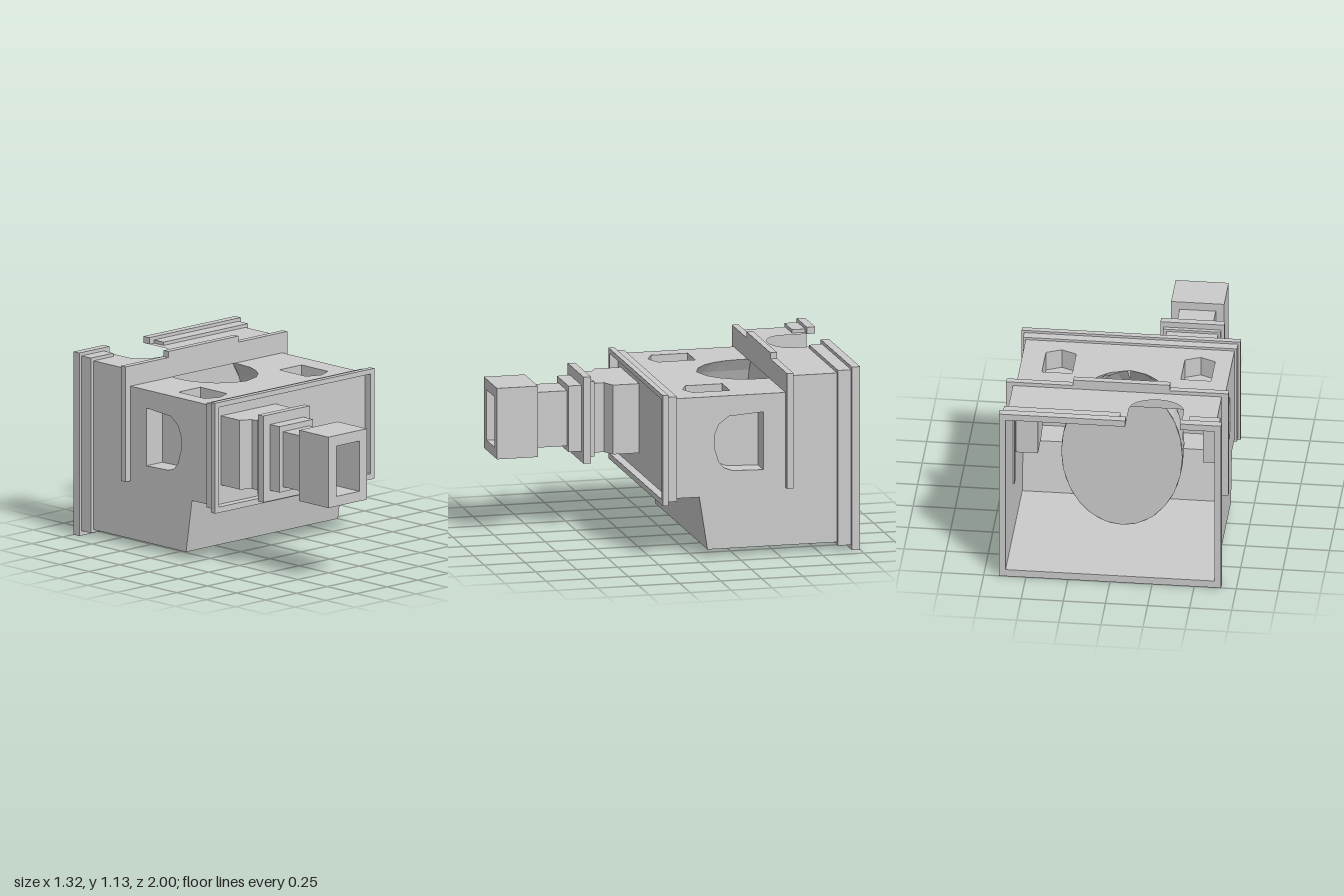
import * as THREE from 'three';
import { ParametricGeometry } from 'three/addons/geometries/ParametricGeometry.js';

const flat = new THREE.MeshStandardMaterial({ color: 0xcccccc, flatShading: true, side: THREE.DoubleSide });
const smooth = new THREE.MeshStandardMaterial({ color: 0xcccccc, side: THREE.DoubleSide });

const toShape = (pts) => new THREE.Shape(pts.map(([x, y]) => new THREE.Vector2(x, y)));
const sheet = (pts, holes = []) => {
  const s = toShape(pts);
  s.holes = holes.map(toShape);
  return new THREE.ShapeGeometry(s);
};
const slab = (pts, z0, z1, holes = []) => {
  const s = toShape(pts);
  s.holes = holes.map(toShape);
  return new THREE.ExtrudeGeometry(s, { depth: z1 - z0, bevelEnabled: false }).translate(0, 0, z0);
};
const rect = (x0, x1, y0, y1) => [[x0, y0], [x1, y0], [x1, y1], [x0, y1]];

// Strip of wall that follows a closed outline from z = 0 to z = depth
function wall(pts, depth) {
  const v = [];
  pts.forEach(([x, y], i) => {
    const [p, q] = pts[(i + 1) % pts.length];
    v.push(x, y, 0, p, q, 0, p, q, depth, x, y, 0, p, q, depth, x, y, depth);
  });
  const g = new THREE.BufferGeometry();
  g.setAttribute('position', new THREE.Float32BufferAttribute(v, 3));
  g.computeVertexNormals();
  return g;
}

export function createModel() {
  const model = new THREE.Group();
  const add = (name, geo, mat = flat) => {
    const m = new THREE.Mesh(geo, mat);
    m.name = name;
    model.add(m);
    return m;
  };
  const W = 0.62, TOP = 0.97, REAR_TOP = 1.07, RIB = -0.575;

  // Rounded scoop let into the top: rows of [z, size], cut off at the top panel
  const rows = [[RIB, 1], [-0.5, 1], [-0.42, 0.985], [-0.34, 0.93], [-0.27, 0.85],
    [-0.215, 0.76], [-0.18, 0.7], [-0.12, 0.5], [-0.08, 0.25], [-0.065, 0.001]];
  const CX = -0.025, CY = 0.63, A = 0.36, B = 0.486, CUT = (TOP - CY) / B;
  const scoopPoint = (k, u) => {
    const t = Math.asin(Math.min(1, CUT / k));
    const a = t - u * (Math.PI + 2 * t);
    return [CX + A * k * Math.cos(a), CY + B * k * Math.sin(a)];
  };
  add('scoop', new ParametricGeometry((u, v, target) => {
    const [z, k] = rows[Math.round(v * (rows.length - 1))];
    const [x, y] = scoopPoint(k, u);
    target.set(x, y, z);
  }, 24, rows.length - 1), smooth);
  add('scoopBack', sheet(Array.from({ length: 19 }, (_, i) => scoopPoint(1, i / 18))).translate(0, 0, RIB));

  // Side panels with rounded window pockets
  const side = [[0.15, 0.365], [0.15, TOP], [RIB, TOP], [RIB, REAR_TOP], [-1, REAR_TOP],
    [-1, 0.045], [-0.08, 0.045], [-0.03, 0.365]];
  const win = [[-0.42, 0.51], [-0.42, 0.86], [-0.21, 0.845], [-0.15, 0.8], [-0.125, 0.74],
    [-0.125, 0.65], [-0.15, 0.57], [-0.18, 0.535], [-0.23, 0.515]];
  for (const s of [1, -1]) {
    const place = (g, depth = 0) => g.rotateY(-Math.PI / 2).translate(s * (W - depth), 0, 0);
    add('sidePanel', place(sheet(side, [win])));
    add('sidePocketFloor', place(sheet(win), 0.13));
    add('sidePocketWall', place(wall(win, s * 0.13)));
  }

  // Top panel, open over the scoop and the two pointed pockets
  const rim = rows.slice(0, 7).map(([z, k]) => [A * Math.sqrt(Math.max(0, k * k - CUT * CUT)), z]);
  const topOutline = [[-W, RIB], ...rim.map(([w, z]) => [CX - w, z]),
    ...rim.slice(0, 6).reverse().map(([w, z]) => [CX + w, z]), [W, RIB], [W, 0.15], [-W, 0.15]];
  const pockets = [-0.43, 0.395].map((c) =>
    [[c - 0.09, -0.25], [c + 0.09, -0.25], [c + 0.09, -0.025], [c, 0.015], [c - 0.09, -0.025]]);
  const lay = (g, y) => g.rotateX(Math.PI / 2).translate(0, y, 0);
  add('topPanel', lay(sheet(topOutline, pockets), TOP));
  for (const p of pockets) {
    add('topPocketFloor', lay(sheet(p), TOP - 0.12));
    add('topPocketWall', lay(wall(p, 0.12), TOP));
  }

  // Rear top panel with a round-ended notch
  const NL = -0.415, NR = -0.09, NC = (NL + NR) / 2, NW = (NR - NL) / 2;
  const arc = Array.from({ length: 13 }, (_, i) => {
    const a = Math.PI * (1 - i / 12);
    return [NC + NW * Math.cos(a), -0.79 + 0.12 * Math.sin(a)];
  });
  add('rearTopPanel', lay(sheet([[-W, -1], [NL, -1], ...arc, [NR, -1], [W, -1], [W, RIB], [-W, RIB]]), REAR_TOP));

  // Floor, sloped step, shelf and front panel
  add('floor', lay(sheet(rect(-W, W, -1, -0.08)), 0.045));
  add('shelf', lay(sheet(rect(-W, W, -0.03, 0.15)), 0.365));
  const slope = new THREE.PlaneGeometry(2 * W, Math.hypot(0.32, 0.05));
  add('slopedStep', slope.rotateX(Math.atan2(0.05, 0.32)).translate(0, 0.205, -0.055));
  add('frontPanel', sheet(rect(-W, W, 0.365, TOP)).translate(0, 0, 0.15));

  // Stepped front frame
  const opening = rect(-W, W, 0.365, TOP);
  add('frontFrameInner', slab(rect(-0.635, 0.635, 0.35, 0.985), 0.11, 0.165, [opening]));
  add('frontFrameOuter', slab(rect(-0.65, 0.65, 0.33, 1.0), 0.165, 0.2, [opening]));

  // Stepped rear frame, broken by the notch at the top
  const brokenFrame = (x, y0, y1, ga, gb) => [[gb, y1], [x, y1], [x, y0], [-x, y0], [-x, y1], [ga, y1],
    [ga, REAR_TOP], [-W, REAR_TOP], [-W, 0.045], [W, 0.045], [W, REAR_TOP], [gb, REAR_TOP]];
  add('rearFrameOuter', slab(brokenFrame(0.66, 0, 1.11, NL, NR), -1, -0.95));
  add('rearFrameInner', slab(brokenFrame(0.642, 0.028, 1.09, -0.46, -0.05), -0.95, -0.87));

  // Upright rib that closes the step in the roof
  add('rib', slab([[0.66, 0.395], [0.66, 1.093], [0.262, 1.093], [0.262, 1.13], [-0.312, 1.13], [-0.312, 1.093],
    [-0.66, 1.093], [-0.66, 0.395], [-0.61, 0.395], [-0.61, TOP], [0.61, TOP], [0.61, 0.395]], -0.595, -0.555));

  // Nozzle base, tapered in plan
  const base = toShape([[-0.555, 0.15], [-0.11, 0.15], [-0.11, 0.31], [-0.185, 0.345], [-0.185, 0.41],
    [-0.49, 0.41], [-0.49, 0.345], [-0.555, 0.31]]);
  add('nozzleBase', new THREE.ExtrudeGeometry(base, { depth: 0.42, bevelEnabled: false })
    .rotateX(Math.PI / 2).translate(0, 0.9, 0));

  // Nozzle steps and hollow tip
  const steps = [
    ['nozzleCollar', -0.505, -0.165, 0.46, 0.915, 0.41, 0.435],
    ['nozzlePlate', -0.525, -0.145, 0.425, 0.95, 0.435, 0.48],
    ['nozzleBlock', -0.47, -0.195, 0.49, 0.89, 0.48, 0.56],
    ['nozzleNeck', -0.44, -0.225, 0.52, 0.855, 0.56, 0.75],
  ];
  for (const [name, x0, x1, y0, y1, z0, z1] of steps) add(name, slab(rect(x0, x1, y0, y1), z0, z1));
  add('nozzleTip', slab(rect(-0.49, -0.175, 0.475, 0.905), 0.75, 1, [rect(-0.425, -0.237, 0.535, 0.84)]));

  return model;
}
